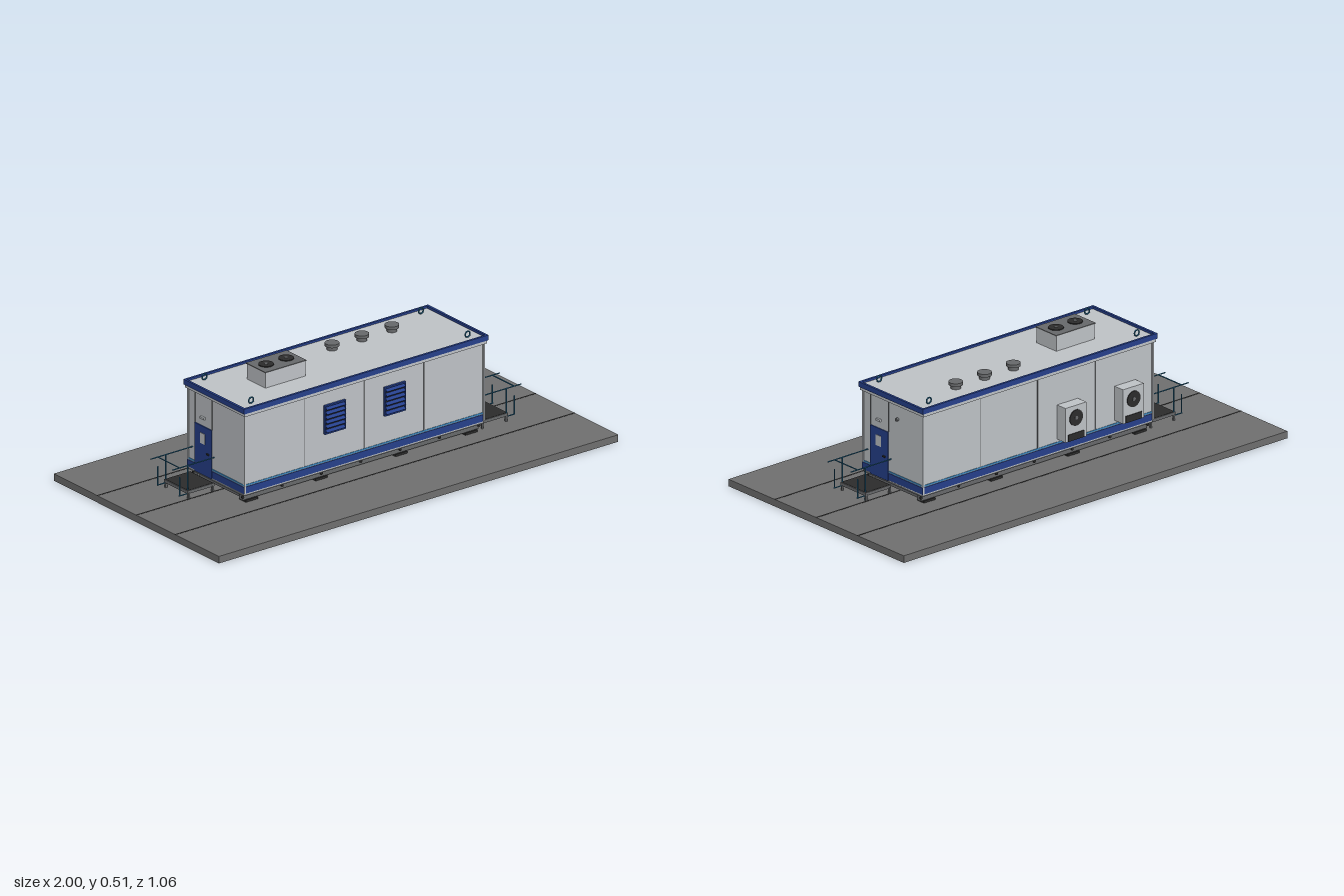
import * as THREE from 'three';

const mat = (name, color) => {
  const m = new THREE.MeshStandardMaterial({ color });
  m.name = name;
  return m;
};

export function createModel() {
  const concrete = mat('concrete grey', 0x707070);
  const wall = mat('wall light grey', 0xc0c4c8);
  const blue = mat('trim blue', 0x26408c);
  const sky = mat('stripe light blue', 0x3f8fca);
  const rail = mat('rail teal', 0x246a90);
  const dark = mat('dark grey', 0x2c2c2c);
  const steel = mat('steel grey', 0x686a6c);

  const root = new THREE.Group();
  root.name = 'equipmentShelter';

  // box given by its min/max limits
  const box = (name, m, x0, x1, y0, y1, z0, z1, parent = root) => {
    const mesh = new THREE.Mesh(new THREE.BoxGeometry(x1 - x0, y1 - y0, z1 - z0), m);
    mesh.position.set((x0 + x1) / 2, (y0 + y1) / 2, (z0 + z1) / 2);
    mesh.name = name;
    parent.add(mesh);
    return mesh;
  };
  const cyl = (name, m, r, h, x, y, z, axis = 'y', parent = root, seg = 24) => {
    const mesh = new THREE.Mesh(new THREE.CylinderGeometry(r, r, h, seg), m);
    if (axis === 'x') mesh.rotation.z = Math.PI / 2;
    if (axis === 'z') mesh.rotation.x = Math.PI / 2;
    mesh.position.set(x, y, z);
    mesh.name = name;
    parent.add(mesh);
    return mesh;
  };

  // ground slab with joints
  box('slab', concrete, -1, 1, 0, 0.03, -0.53, 0.53);
  for (const z of [-0.25, 0, 0.25]) box('slabJoint', dark, -1, 1, 0.029, 0.031, z - 0.003, z + 0.003);

  // skid: long beams, cross beams, pads and bolts
  for (const z of [-0.145, 0.145]) {
    box('skidBeam', steel, -0.59, 0.59, 0.038, 0.066, z - 0.012, z + 0.012);
    for (const x of [-0.55, -0.2, 0.2, 0.55]) box('skidPad', dark, x - 0.03, x + 0.03, 0.03, 0.039, z - 0.02, z + 0.02);
    for (let i = -3; i <= 3; i++) {
      const s = Math.sign(z);
      cyl('skidBolt', dark, 0.006, 0.006, i * 0.197, 0.053, z + s * 0.014, 'z', root, 8);
    }
  }
  for (let i = -3; i <= 3; i++) box('crossBeam', steel, i * 0.19 - 0.01, i * 0.19 + 0.01, 0.042, 0.066, -0.135, 0.135);

  // shelter body with base frame and stripes
  box('baseFrame', steel, -0.6, 0.6, 0.065, 0.077, -0.177, 0.177);
  box('body', wall, -0.6, 0.6, 0.072, 0.415, -0.18, 0.18);
  for (const s of [-1, 1]) {
    box('stripeBlue', blue, -0.603, 0.603, 0.077, 0.106, s * 0.1815 - 0.0015, s * 0.1815 + 0.0015);
    box('stripeLight', sky, -0.602, 0.602, 0.109, 0.115, s * 0.181 - 0.001, s * 0.181 + 0.001);
    // the door interrupts the stripes on each end
    const ends = [[-0.18, 0.024], [0.136, 0.18]];
    for (const [a, b] of ends) {
      const z0 = s > 0 ? a : -b, z1 = s > 0 ? b : -a;
      box('endStripeBlue', blue, s * 0.6015 - 0.0015, s * 0.6015 + 0.0015, 0.077, 0.106, z0, z1);
      box('endStripeLight', sky, s * 0.601 - 0.001, s * 0.601 + 0.001, 0.109, 0.115, z0, z1);
    }
    // wall panel joints and corner trims
    for (const [x, w] of [[-0.3, 0.001], [0, 0.0035], [0.3, 0.001]])
      box('wallJoint', steel, x - w, x + w, 0.115, 0.412, s * 0.1805 - 0.0008, s * 0.1805 + 0.0008);
    for (const z of [-0.18, 0.18])
      box('cornerTrim', wall, s * 0.598 - 0.004, s * 0.598 + 0.004, 0.077, 0.412, z - 0.004, z + 0.004);
  }

  // roof: cornice, panel and parapet
  box('cornice', wall, -0.606, 0.606, 0.411, 0.426, -0.191, 0.191);
  box('roofPanel', wall, -0.6, 0.6, 0.42, 0.438, -0.185, 0.185);
  for (const s of [-1, 1]) {
    box('parapetSide', blue, -0.612, 0.612, 0.425, 0.447, s * 0.19 - 0.005, s * 0.19 + 0.005);
    box('parapetEnd', blue, s * 0.607 - 0.005, s * 0.607 + 0.005, 0.425, 0.447, -0.185, 0.185);
    // lifting eyes
    for (const t of [-1, 1]) {
      const eye = new THREE.Mesh(new THREE.TorusGeometry(0.012, 0.003, 8, 20), rail);
      eye.position.set(s * 0.542, 0.454, t * 0.15);
      eye.name = 'liftingEye';
      root.add(eye);
    }
  }

  // rooftop cooling unit
  box('coolerBody', wall, -0.4, -0.2, 0.436, 0.503, -0.06, 0.06);
  box('coolerLid', steel, -0.403, -0.197, 0.503, 0.507, -0.063, 0.063);
  for (const x of [-0.35, -0.25]) {
    cyl('coolerFan', dark, 0.031, 0.005, x, 0.508, 0);
    cyl('coolerHub', steel, 0.007, 0.002, x, 0.511, 0);
  }

  // roof vents
  for (const x of [0.05, 0.2, 0.35]) {
    cyl('ventStem', steel, 0.021, 0.02, x, 0.446, -0.09);
    cyl('ventCap', steel, 0.029, 0.013, x, 0.46, -0.09);
  }

  // front louvres
  for (const x of [-0.15, 0.15]) {
    box('louvreBack', dark, x - 0.049, x + 0.049, 0.232, 0.35, 0.179, 0.184);
    for (const s of [-1, 1]) {
      box('louvreJamb', blue, x + s * 0.05 - 0.003, x + s * 0.05 + 0.003, 0.23, 0.352, 0.179, 0.19);
      const y = 0.291 + s * 0.059;
      box('louvreRail', blue, x - 0.052, x + 0.052, y - 0.003, y + 0.003, 0.179, 0.19);
    }
    for (let i = 0; i < 6; i++) {
      const y = 0.242 + i * 0.0195;
      box('louvreSlat', blue, x - 0.047, x + 0.047, y - 0.0015, y + 0.0015, 0.181, 0.197).rotation.x = 0.6;
    }
  }

  // rear air conditioners
  for (const x of [-0.455, -0.155]) {
    box('airConditioner', wall, x - 0.054, x + 0.054, 0.127, 0.273, -0.231, -0.18);
    cyl('airConditionerFan', dark, 0.034, 0.005, x, 0.221, -0.232, 'z');
    cyl('airConditionerHub', steel, 0.008, 0.002, x, 0.221, -0.235, 'z');
    box('airConditionerGrille', dark, x - 0.042, x + 0.042, 0.128, 0.157, -0.234, -0.23);
  }

  // one entrance (door, landing, rails), then its half-turn copy at the other end
  const entrance = () => {
    const g = new THREE.Group();
    g.name = 'entrance';
    const b = (...a) => box(...a, g);
    b('door', blue, 0.598, 0.604, 0.072, 0.28, 0.026, 0.134);
    b('doorWindow', wall, 0.603, 0.606, 0.205, 0.25, 0.066, 0.097);
    b('doorHandle', dark, 0.603, 0.61, 0.168, 0.174, 0.04, 0.054);
    b('doorLamp', wall, 0.6, 0.609, 0.311, 0.32, 0.07, 0.094);
    for (const z of [0.026, 0.135]) b('endJoint', steel, 0.6, 0.6012, 0.28, 0.411, z - 0.001, z + 0.001);
    // landing with steel edge and legs
    b('landingDeck', dark, 0.612, 0.738, 0.058, 0.066, 0.004, 0.15);
    for (const z of [0.004, 0.15]) {
      b('landingEdge', steel, 0.608, 0.742, 0.052, 0.065, z - 0.003, z + 0.003);
      for (const x of [0.615, 0.735]) b('landingLeg', steel, x - 0.004, x + 0.004, 0.03, 0.056, z - 0.004, z + 0.004);
    }
    b('landingNose', steel, 0.736, 0.742, 0.052, 0.065, 0.004, 0.15);
    // handrails
    for (const z of [0.01, 0.15]) {
      cyl('railPost', rail, 0.0025, 0.14, 0.735, 0.1, z, 'y', g, 8);
      cyl('railOuterPost', rail, 0.0025, 0.08, 0.775, 0.09, z, 'y', g, 8);
      cyl('railFoot', rail, 0.0025, 0.045, 0.756, 0.05, z, 'x', g, 8);
      cyl('railTop', rail, 0.0025, 0.21, 0.706, 0.17, z, 'x', g, 8);
    }
    cyl('railCross', rail, 0.0025, 0.14, 0.775, 0.17, 0.08, 'z', g, 8);
    return g;
  };
  const right = entrance();
  const left = entrance();
  left.rotation.y = Math.PI;
  root.add(right, left);

  // round cable port on the end wall
  cyl('cablePort', steel, 0.007, 0.012, 0.604, 0.352, -0.03, 'x');

  return root;
}
